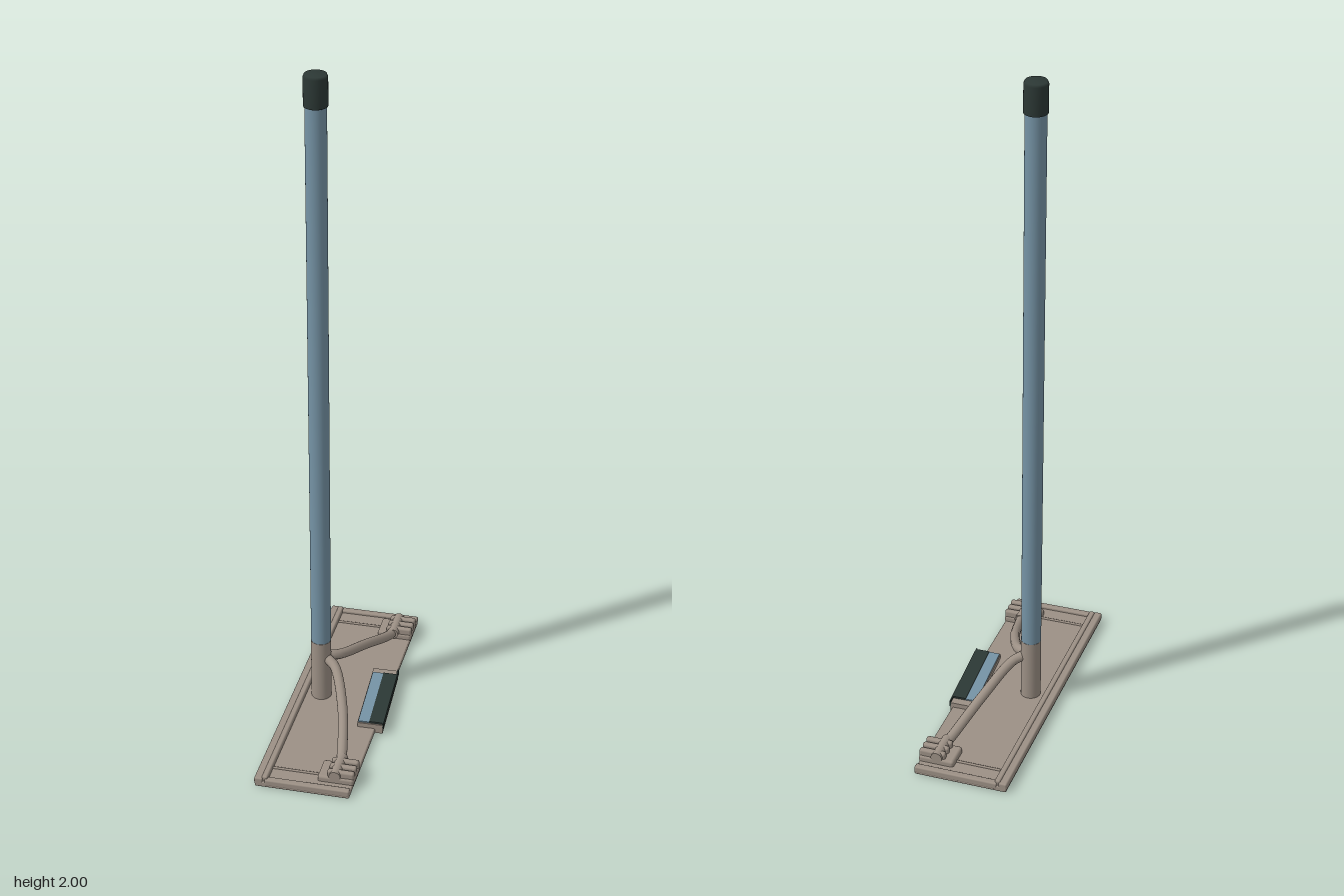
import * as THREE from 'three';
import { RoundedBoxGeometry } from 'three/addons/geometries/RoundedBoxGeometry.js';

const metal = new THREE.MeshStandardMaterial({ color: 0x9c9085 });
metal.name = 'warm grey metal';
const blue = new THREE.MeshStandardMaterial({ color: 0x7593a5 });
blue.name = 'blue paint';
const dark = new THREE.MeshStandardMaterial({ color: 0x2c3835 });
dark.name = 'dark rubber';

// The head is a slightly skewed rectangle: x shifts with z
const skew = new THREE.Matrix4().set(
  1, 0, -0.063, 0,
  0, 1, 0, 0,
  0.018, 0, 1, 0,
  0, 0, 0, 1);

export function createModel() {
  const model = new THREE.Group();
  model.name = 'floorSqueegee';

  const add = (name, geometry, material, parent = model) => {
    const mesh = new THREE.Mesh(geometry, material);
    mesh.name = name;
    parent.add(mesh);
    return mesh;
  };
  // Box given by its limits, skewed along with the head
  const headBox = (name, [x0, x1], [y0, y1], [z0, z1], parent, r = 0.005) =>
    add(name, new RoundedBoxGeometry(x1 - x0, y1 - y0, z1 - z0, 2, r)
      .translate((x0 + x1) / 2, (y0 + y1) / 2, (z0 + z1) / 2)
      .applyMatrix4(skew), metal, parent);
  const tube = (name, points, radius, parent) =>
    add(name, new THREE.TubeGeometry(
      new THREE.CatmullRomCurve3(points.map(p => new THREE.Vector3(...p))),
      20, radius, 12), metal, parent);

  // Flat head with raised rails
  const head = new THREE.Group();
  head.name = 'head';
  model.add(head);
  headBox('basePlate', [-0.138, 0.138], [0, 0.018], [-0.435, 0.435], head, 0.004);
  headBox('outerRail', [-0.14, -0.115], [0.006, 0.03], [-0.435, 0.435], head);
  headBox('innerRail', [-0.119, -0.102], [0.01, 0.034], [-0.43, 0.43], head);

  for (const s of [-1, 1]) {
    const span = (a, b) => (s > 0 ? [a, b] : [-b, -a]);
    headBox('endLip', [-0.11, 0.138], [0.006, 0.027], span(0.416, 0.436), head);
    // Thin rod from the rail to the bracket
    const rod = new THREE.CylinderGeometry(0.004, 0.004, 0.16, 8)
      .rotateZ(Math.PI / 2).translate(-0.03, 0.019, s * 0.367).applyMatrix4(skew);
    add('crossRod', rod, metal, head);

    // Hinge bracket with ribs and a pin
    const bracket = new THREE.Group();
    bracket.name = 'hingeBracket';
    head.add(bracket);
    headBox('bracketBase', [0.035, 0.141], [0.01, 0.036], span(0.318, 0.396), bracket, 0.008);
    for (const z of [0.33, 0.356, 0.382]) {
      headBox('bracketRib', [0.062, 0.141], [0.02, 0.055], span(z - 0.009, z + 0.009), bracket, 0.007);
    }
    const pin = new THREE.CylinderGeometry(0.017, 0.017, 0.09, 14)
      .rotateX(Math.PI / 2).translate(0.086, 0.041, s * 0.352).applyMatrix4(skew);
    add('bracketPin', pin, metal, bracket);
  }

  // Braces from the socket to the hinge brackets
  tube('rightBrace', [[-0.045, 0.162, -0.005], [-0.012, 0.15, -0.03],
    [0.045, 0.1, -0.16], [0.095, 0.046, -0.29], [0.107, 0.038, -0.33]], 0.015);
  tube('leftBrace', [[-0.045, 0.162, 0.005], [-0.012, 0.15, 0.03],
    [0.035, 0.1, 0.15], [0.06, 0.05, 0.275], [0.066, 0.038, 0.325]], 0.015);

  // Raised block on the front edge with blue and dark faces
  const block = new THREE.Group();
  block.name = 'edgeBlock';
  model.add(block);
  const slab = (name, w, h, d, x, y, z, material) =>
    add(name, new THREE.BoxGeometry(w, h, d).translate(x, y, z), material, block);
  slab('blockBody', 0.076, 0.03, 0.268, 0.115, 0.018, 0, metal);
  slab('bluePanel', 0.034, 0.006, 0.24, 0.096, 0.034, 0.01, blue);
  slab('darkPanel', 0.042, 0.008, 0.24, 0.133, 0.035, 0.01, dark);
  slab('darkEdge', 0.004, 0.02, 0.268, 0.153, 0.029, 0, dark);

  // Slightly leaning handle: socket, pole and grip along one axis
  const foot = new THREE.Vector3(-0.058, 0.01, 0.0);
  const tip = new THREE.Vector3(-0.07, 2, -0.021);
  const axis = tip.clone().sub(foot);
  const handle = new THREE.Group();
  handle.name = 'handle';
  handle.position.copy(foot);
  handle.quaternion.setFromUnitVectors(new THREE.Vector3(0, 1, 0), axis.clone().normalize());
  model.add(handle);
  const section = (name, r, y0, y1, material) =>
    add(name, new THREE.CylinderGeometry(r, r, y1 - y0, 32)
      .translate(0, (y0 + y1) / 2, 0), material, handle);
  section('socket', 0.03, 0, 0.21, metal);
  section('pole', 0.0295, 0.21, 1.91, blue);
  const grip = [[0.029, 1.9], [0.033, 1.902], [0.033, 1.982], [0.03, 1.989], [0, 1.99]];
  add('grip', new THREE.LatheGeometry(grip.map(p => new THREE.Vector2(...p)), 32), dark, handle);

  return model;
}
